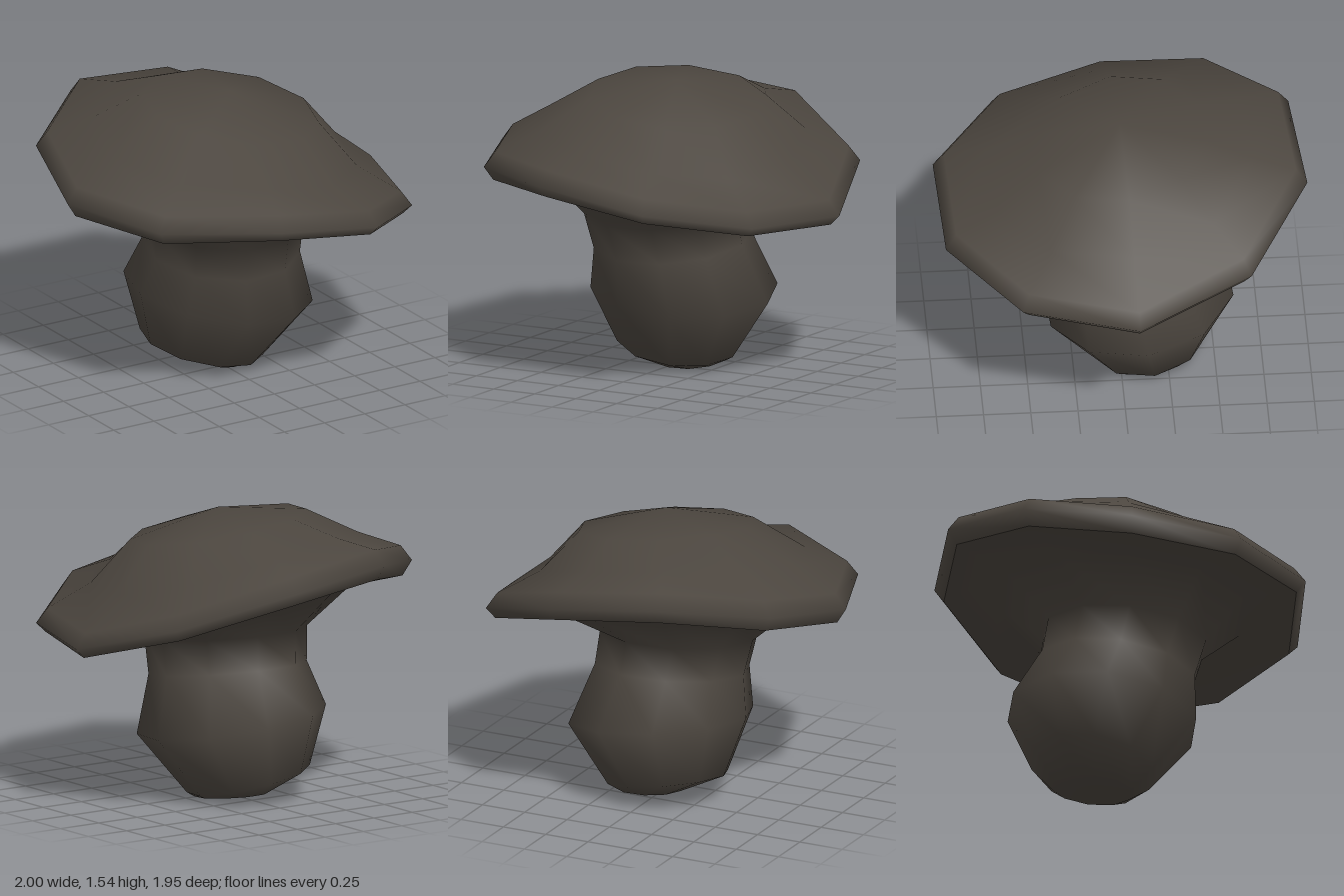
import * as THREE from 'three';

// Uneven ten-sided cap edge: [x, y, z] going from the left side round by the front
const RIM = [
  [1, 0.9, -0.05], [0.82, 0.92, 0.56], [0.37, 1.01, 0.94], [-0.24, 1.11, 0.97], [-0.78, 1.1, 0.62],
  [-1, 1.13, 0.04], [-0.84, 1.24, -0.53], [-0.38, 1.33, -0.92], [0.24, 1.26, -0.98], [0.78, 1.07, -0.65],
];

// Smooth skin over rings listed from top to bottom, with optional closing points
function loft(rings, top, bottom) {
  const n = RIM.length, pos = rings.flat(2), index = [];
  const at = (r, i) => r * n + (i % n);
  for (let r = 0; r < rings.length - 1; r++) {
    for (let i = 0; i < n; i++) {
      index.push(at(r, i), at(r, i + 1), at(r + 1, i), at(r, i + 1), at(r + 1, i + 1), at(r + 1, i));
    }
  }
  if (top) {
    const p = pos.length / 3;
    pos.push(...top);
    for (let i = 0; i < n; i++) index.push(p, at(0, i + 1), at(0, i));
  }
  if (bottom) {
    const p = pos.length / 3, last = rings.length - 1;
    pos.push(...bottom);
    for (let i = 0; i < n; i++) index.push(p, at(last, i), at(last, i + 1));
  }
  const g = new THREE.BufferGeometry();
  g.setAttribute('position', new THREE.Float32BufferAttribute(pos, 3));
  g.setIndex(index);
  g.computeVertexNormals();
  return g;
}

// Ring that follows the cap edge, scaled by k and shifted by dx, with its height given by a rule
const capRing = (k, height, dx = 0) => RIM.map(([x, y, z]) => [x * k + dx, height(x, y, z), z * k]);

// Tilted oval stem ring from its x and z extents
function stemRing(x0, x1, z0, z1, y, tiltX, tiltZ) {
  return RIM.map(([x, , z]) => {
    const l = Math.hypot(x, z), c = x / l, s = z / l;
    return [(x0 + x1) / 2 + c * (x1 - x0) / 2, y + tiltX * c + tiltZ * s, (z0 + z1) / 2 + s * (z1 - z0) / 2];
  });
}

export function createModel() {
  const group = new THREE.Group();
  const brown = new THREE.MeshStandardMaterial({ color: 0x4c463f });
  brown.name = 'dark brown';
  brown.side = THREE.DoubleSide;

  const crown = (x, z) => 1.45 - 0.055 * x - 0.06 * z;
  const lower = (x, y, z) => y - 0.065 + 0.015 * x + 0.01 * z;
  const lip = capRing(0.95, lower);

  // Cap: domed crown and rolled edge
  const cap = new THREE.Mesh(loft([
    capRing(0.47, (x, y, z) => crown(x, z), 0.04),
    capRing(0.71, (x, y, z) => THREE.MathUtils.lerp(y + 0.08, crown(x, z), 0.45 - 0.15 * Math.abs(z))),
    capRing(0.94, (x, y) => y + 0.08),
    capRing(1, (x, y) => y),
    lip,
  ], [0.04, 1.545, 0]), brown);
  cap.name = 'cap';

  // Stem: hollow underside of the cap, flared neck, narrow waist, swollen lopsided base
  const stem = new THREE.Mesh(loft([
    lip,
    capRing(0.67, (x, y, z) => 0.45 * lower(x, y, z) + 0.585),
    stemRing(-0.45, 0.4, -0.42, 0.46, 0.865, 0, -0.05),
    stemRing(-0.42, 0.41, -0.45, 0.4, 0.68, 0, -0.06),
    stemRing(-0.47, 0.52, -0.61, 0.41, 0.415, -0.055, -0.055),
    stemRing(-0.37, 0.28, -0.48, 0.17, 0.095, -0.055, -0.045),
    stemRing(-0.12, 0.25, -0.37, 0.06, 0.025, 0, -0.025),
  ], null, [0.04, 0, -0.13]), brown);
  stem.name = 'undersideAndStem';

  group.add(cap, stem);
  return group;
}
